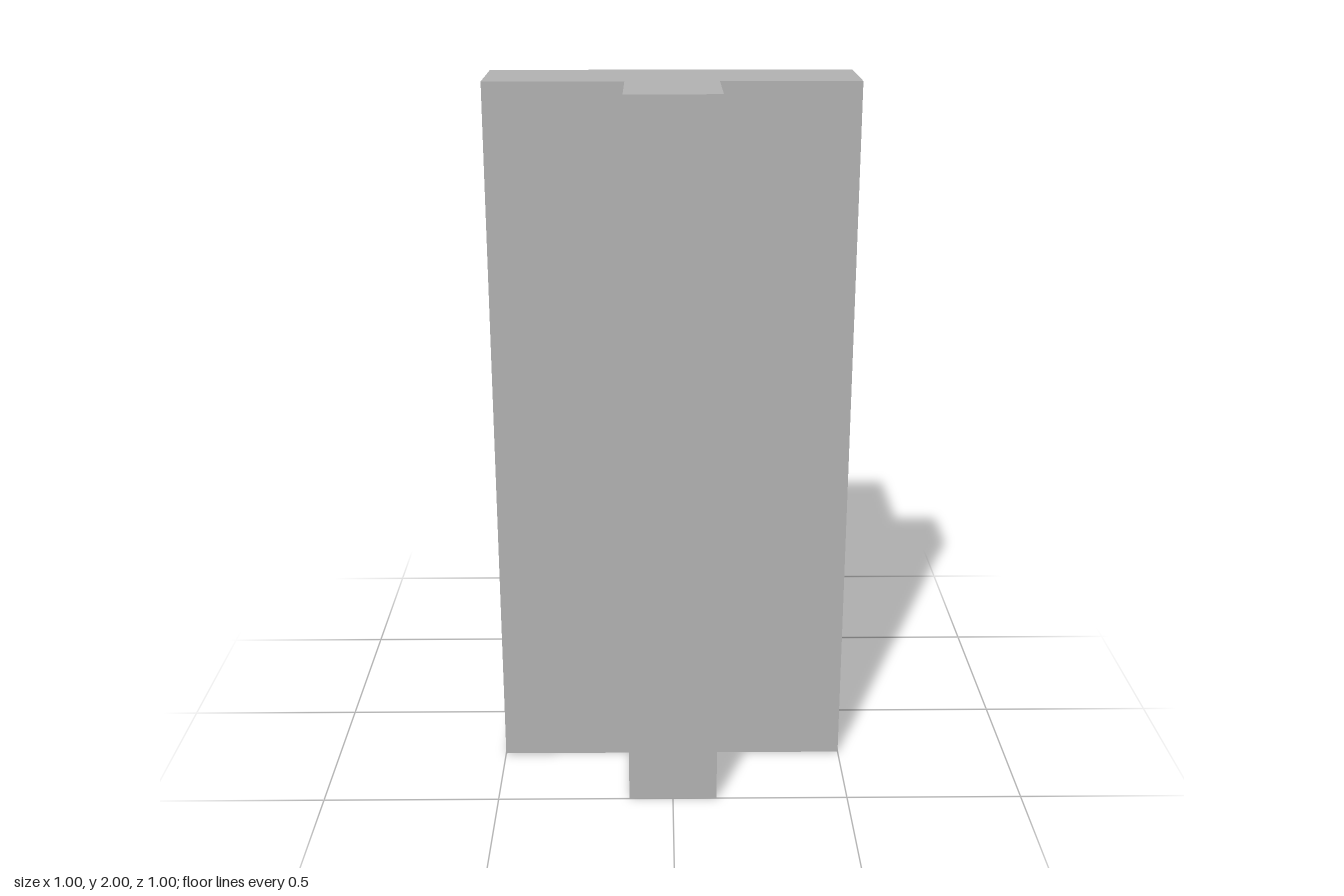
import * as THREE from 'three';

export function createModel() {
  const model = new THREE.Group();
  model.name = 'shelfColumn';
  const grey = new THREE.MeshStandardMaterial({ color: 0xb2b2b2, side: THREE.DoubleSide });
  grey.name = 'grey';

  // Upright: T-shaped section (wide board with a front rib), drawn as x, -z
  const section = new THREE.Shape([
    [-0.5, 0], [-0.5, -0.25], [-0.125, -0.25], [-0.125, -0.5],
    [0.125, -0.5], [0.125, -0.25], [0.5, -0.25], [0.5, 0],
  ].map(([x, y]) => new THREE.Vector2(x, y)));
  const uprightGeometry = new THREE.ExtrudeGeometry(section, { depth: 2, bevelEnabled: false });
  uprightGeometry.rotateX(-Math.PI / 2);
  const upright = new THREE.Mesh(uprightGeometry, grey);
  upright.name = 'upright';
  model.add(upright);

  // Shelves: a thin top sheet with a hanging sheet at each side, open at back and bottom
  const width = 0.75, depth = 0.5, height = 0.5;
  const topGeometry = new THREE.PlaneGeometry(width, depth).rotateX(-Math.PI / 2);
  const sideGeometry = new THREE.PlaneGeometry(depth, height).rotateY(Math.PI / 2);

  for (const y of [0.625, 1.25, 1.875]) {
    const shelf = new THREE.Group();
    shelf.name = 'shelf';
    shelf.position.set(0, y, -depth / 2);

    const top = new THREE.Mesh(topGeometry, grey);
    top.name = 'shelfTop';
    shelf.add(top);

    for (const side of [-1, 1]) {
      const panel = new THREE.Mesh(sideGeometry, grey);
      panel.name = side > 0 ? 'leftSidePanel' : 'rightSidePanel';
      panel.position.set(side * width / 2, -height / 2, 0);
      if (side < 0) panel.rotation.y = Math.PI;
      shelf.add(panel);
    }
    model.add(shelf);
  }
  return model;
}
